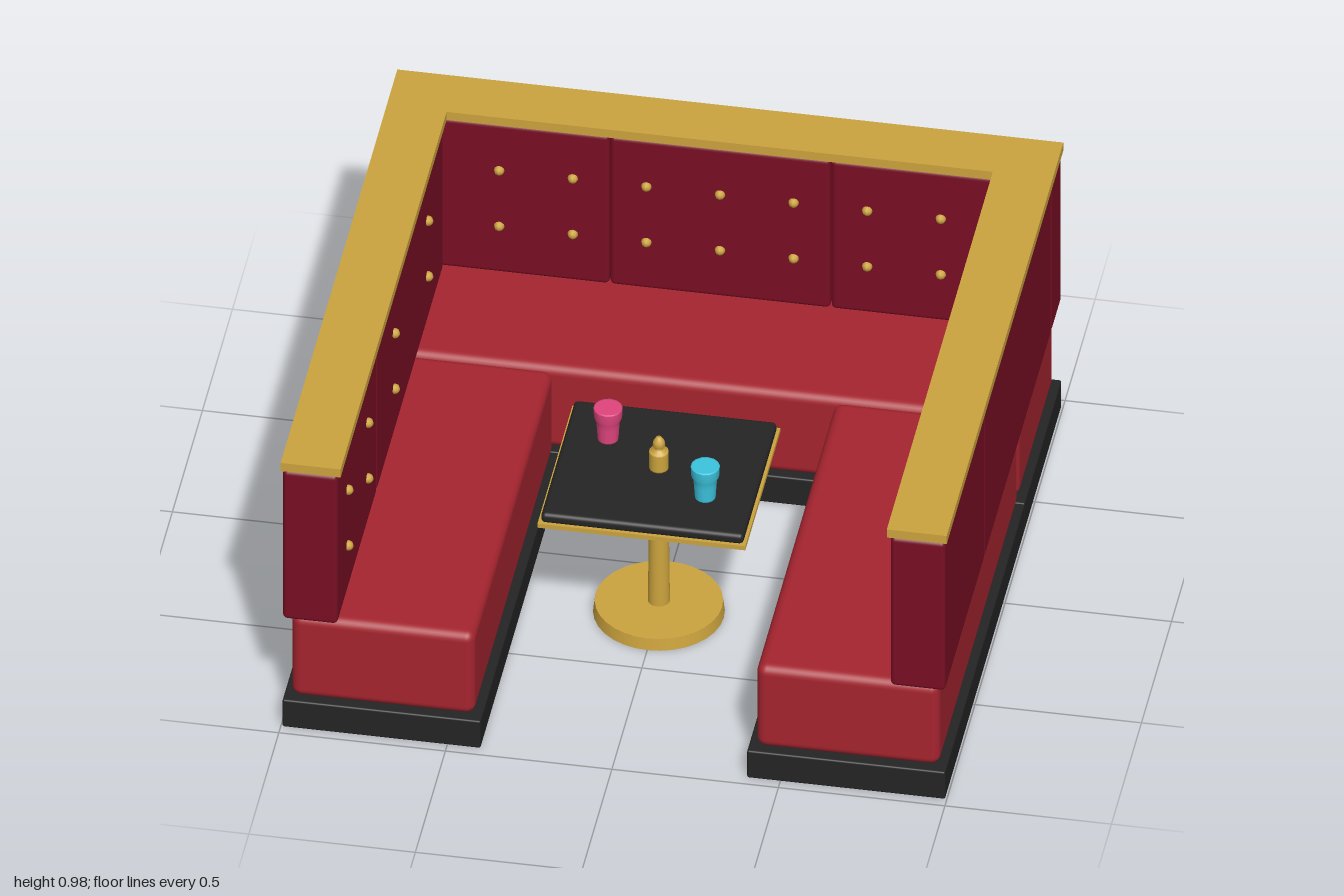
import * as THREE from 'three';
import { RoundedBoxGeometry } from 'three/addons/geometries/RoundedBoxGeometry.js';

const flat = (name, color, extra = {}) => {
  const m = new THREE.MeshStandardMaterial({ color, ...extra });
  m.name = name;
  return m;
};

export function createModel() {
  const model = new THREE.Group();
  model.name = 'boothSeating';
  const cushionRed = flat('cushion red', 0xa5242f);
  const backRed = flat('dark back red', 0x780e24);
  const gold = flat('gold', 0xcca43e);
  const black = flat('black', 0x242424);
  const pink = flat('pink', 0xe0457e);
  const cyan = flat('cyan', 0x3cc4de);

  const add = (name, geometry, material, x = 0, y = 0, z = 0) => {
    const mesh = new THREE.Mesh(geometry, material);
    mesh.name = name;
    mesh.position.set(x, y, z);
    model.add(mesh);
    return mesh;
  };
  // Box given by its limits on each axis, rounded when r > 0
  const block = (name, material, [x0, x1], [y0, y1], [z0, z1], r = 0) => {
    const size = [x1 - x0, y1 - y0, z1 - z0];
    const g = r ? new RoundedBoxGeometry(...size, 3, r) : new THREE.BoxGeometry(...size);
    return add(name, g, material, (x0 + x1) / 2, (y0 + y1) / 2, (z0 + z1) / 2);
  };
  const mirrored = (s, a, b) => (s > 0 ? [a, b] : [-b, -a]);

  // Plinth, seats and upholstered backs: rear run
  block('rearPlinth', black, [-0.995, 0.995], [0, 0.1], [-0.97, -0.357], 0.006);
  block('rearSeat', cushionRed, [-0.973, 0.973], [0.1, 0.4], [-0.95, -0.374], 0.03);
  for (let i = -1; i <= 1; i++) {
    const c = i * 0.664;
    block('rearBackPanel', backRed, [c - 0.331, c + 0.331], [0.4, 0.952], [-0.97, -0.8], 0.015);
  }

  // Side runs
  for (const s of [1, -1]) {
    block('sidePlinth', black, mirrored(s, 0.4, 0.995), [0, 0.1], [-0.357, 0.97], 0.006);
    block('sideSeat', cushionRed, mirrored(s, 0.423, 0.973), [0.1, 0.4], [-0.37, 0.95], 0.03);
    for (const span of [[-0.8, 0.31], [0.31, 0.97]])
      block('sideBackPanel', backRed, mirrored(s, 0.83, 0.995), [0.4, 0.952], span, 0.015);
  }

  // U-shaped cap rail
  const rail = new THREE.Shape();
  [[-1, -0.97], [-0.82, -0.97], [-0.82, 0.795], [0.82, 0.795], [0.82, -0.97], [1, -0.97], [1, 0.972], [-1, 0.972]]
    .forEach(([x, y], i) => (i ? rail.lineTo(x, y) : rail.moveTo(x, y)));
  const railGeometry = new THREE.ExtrudeGeometry(rail, { depth: 0.03, bevelEnabled: false });
  railGeometry.rotateX(-Math.PI / 2);
  add('capRail', railGeometry, gold, 0, 0.952, 0);

  // Tufting buttons
  const button = new THREE.SphereGeometry(0.016, 8, 6);
  for (const y of [0.575, 0.782]) {
    for (let k = -3; k <= 3; k++) add('rearButton', button, gold, k * 0.221, y, -0.8);
    for (const s of [1, -1])
      for (const z of [-0.522, 0.033, 0.475, 0.806]) add('sideButton', button, gold, s * 0.826, y, z);
  }

  // Pedestal table
  const tz = 0.217;
  add('tableFoot', new THREE.CylinderGeometry(0.19, 0.195, 0.04, 32), gold, 0, 0.02, tz);
  add('tablePole', new THREE.CylinderGeometry(0.028, 0.033, 0.45, 20), gold, 0, 0.265, tz);
  block('tableTrim', gold, [-0.312, 0.312], [0.487, 0.502], [tz - 0.292, tz + 0.292]);
  block('tableTop', black, [-0.304, 0.304], [0.497, 0.533], [tz - 0.284, tz + 0.284], 0.014);

  const turned = (name, points, material, x, z) =>
    add(name, new THREE.LatheGeometry(points.map(p => new THREE.Vector2(...p)), 14), material, x, 0.532, z);

  // Small gold table lamp
  turned('tableLamp', [[0, 0], [0.029, 0], [0.029, 0.005], [0.029, 0.058], [0.029, 0.064], [0.014, 0.07],
    [0.013, 0.08], [0.019, 0.086], [0.017, 0.1], [0.008, 0.114], [0, 0.115]], gold, 0, tz);

  // Two drinking glasses
  const glass = [[0, 0], [0.031, 0], [0.031, 0.004], [0.034, 0.05], [0.036, 0.072], [0.042, 0.082],
    [0.043, 0.112], [0.043, 0.116], [0.038, 0.116], [0, 0.116]];
  turned('pinkGlass', glass, pink, -0.173, 0.104);
  turned('cyanGlass', glass, cyan, 0.16, 0.332);

  return model;
}
